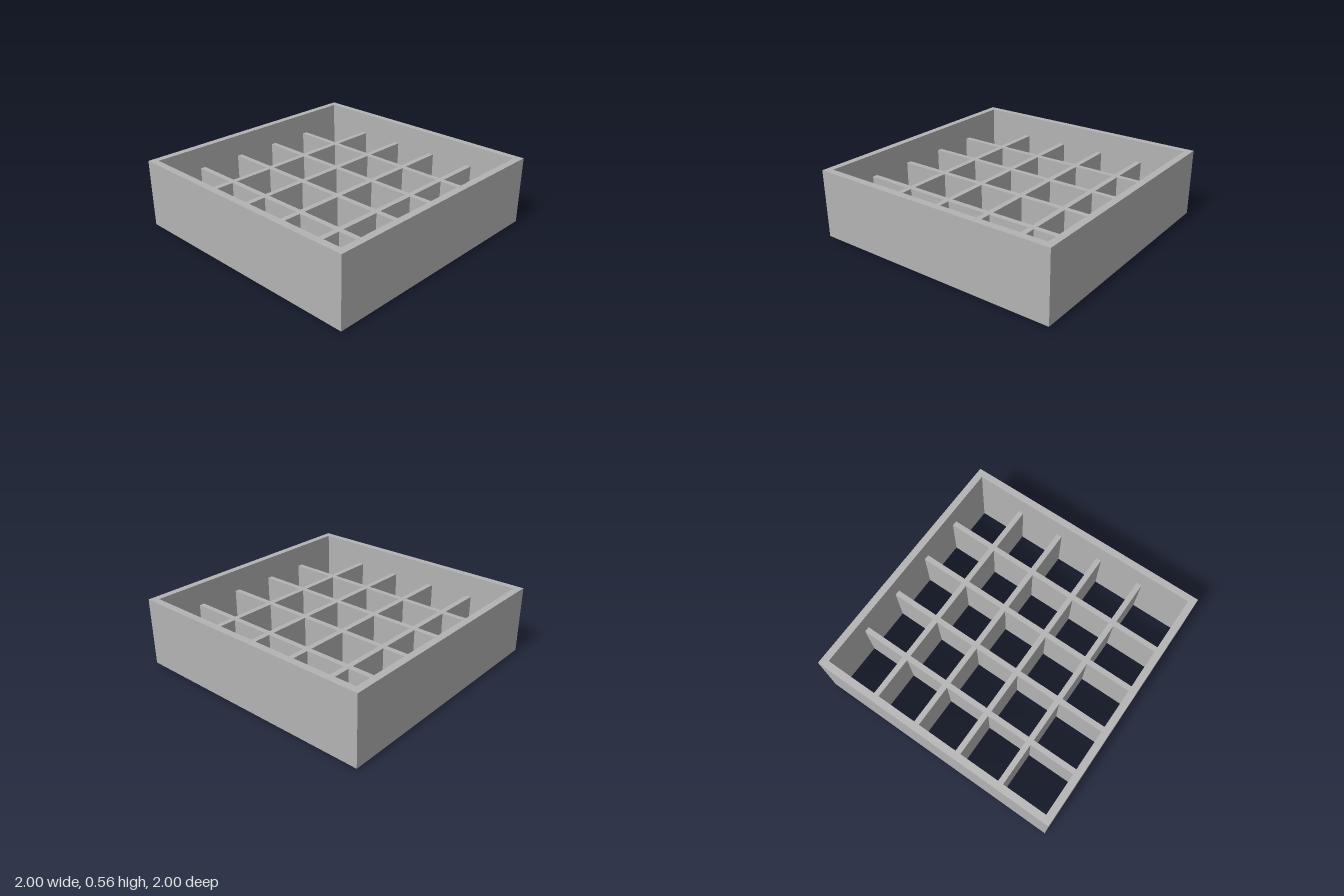
import * as THREE from 'three';

const INNER = 0.945;      // half width of the opening
const BAR = 0.043;        // divider thickness
const GRID_TOP = 0.38;
const PITCH = 0.373;
const SHIFT = -0.004;     // the grid sits slightly off centre

export function createModel() {
  const group = new THREE.Group();
  const grey = new THREE.MeshStandardMaterial({ color: 0xb3b3b3 });
  grey.name = 'plain grey';

  // Square outer wall: one wall section swept round four sides, bevelled at the foot
  const section = [
    [INNER, 0], [0.978, 0], [1, 0.02], [1, 0.555], [INNER, 0.555], [INNER, 0],
  ].map(([half, y]) => new THREE.Vector2(half * Math.SQRT2, y));
  const wallGeometry = new THREE.LatheGeometry(section, 4, Math.PI / 4).toNonIndexed();
  wallGeometry.computeVertexNormals();
  const wall = new THREE.Mesh(wallGeometry, grey);
  wall.name = 'outerWall';
  group.add(wall);

  // Dividers: full-length bars along z, short pieces between them along x
  const dividers = new THREE.Group();
  dividers.name = 'dividerGrid';
  group.add(dividers);

  const addBar = (name, x0, x1, z0, z1) => {
    const bar = new THREE.Mesh(new THREE.BoxGeometry(x1 - x0, GRID_TOP, z1 - z0), grey);
    bar.position.set((x0 + x1) / 2, GRID_TOP / 2, (z0 + z1) / 2);
    bar.name = name;
    dividers.add(bar);
  };

  const centres = [0, 1, 2, 3].map((i) => (i - 1.5) * PITCH + SHIFT);
  const h = BAR / 2;
  for (const c of centres) {
    addBar('lengthDivider', c - h, c + h, -INNER, INNER);
    for (let i = 0; i <= centres.length; i++) {
      const x0 = i === 0 ? -INNER : centres[i - 1] + h;
      const x1 = i === centres.length ? INNER : centres[i] - h;
      addBar('crossDivider', x0, x1, c - h, c + h);
    }
  }
  return group;
}
